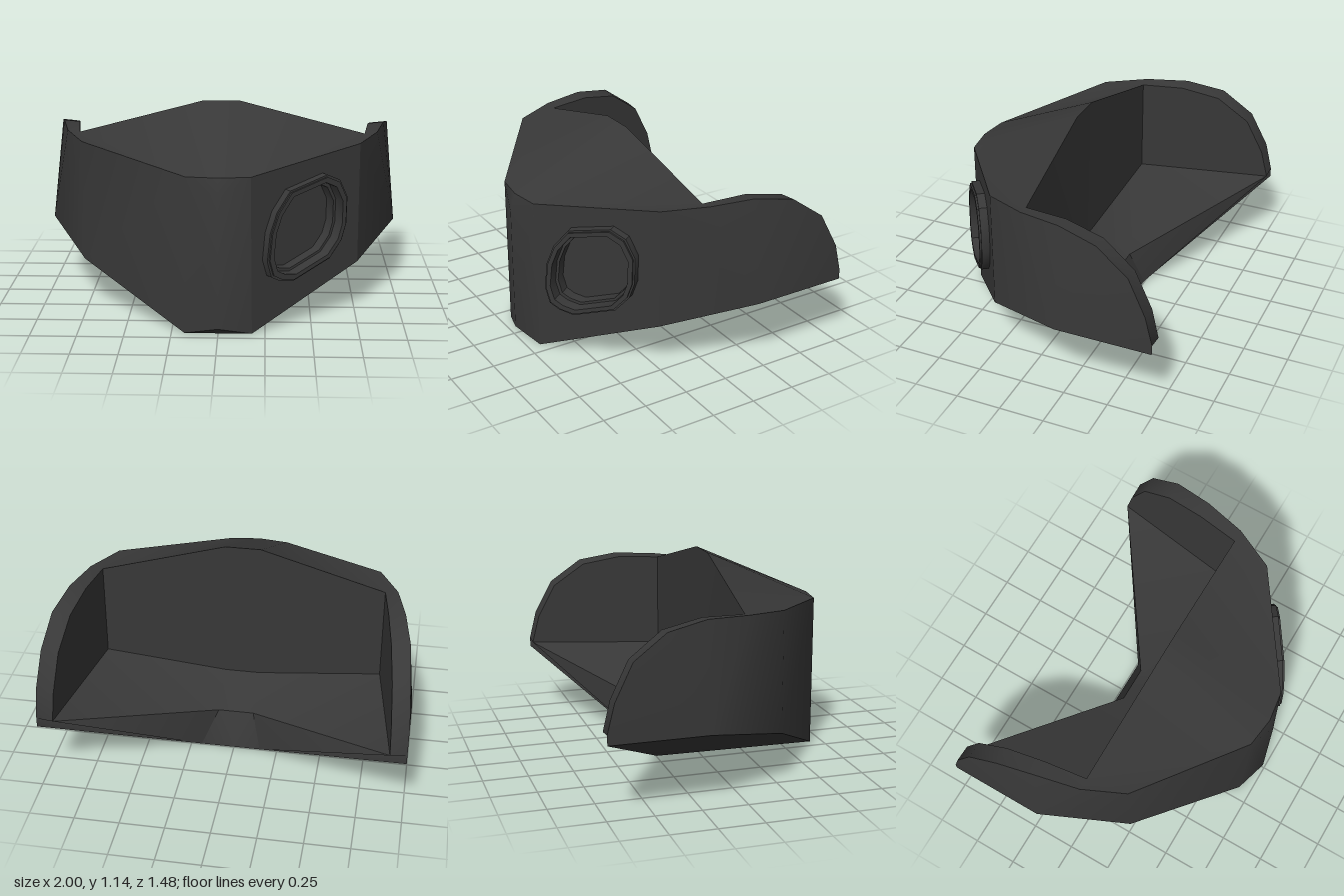
import * as THREE from 'three';
import { toCreasedNormals } from 'three/addons/utils/BufferGeometryUtils.js';

const charcoal = new THREE.MeshStandardMaterial({ color: 0x383838, side: THREE.DoubleSide });
charcoal.name = 'charcoal';

// Fan-triangulated faces, given as loops of corners
function shell(name, faces) {
  const pos = [];
  for (const f of faces)
    for (let i = 1; i < f.length - 1; i++) pos.push(...f[0], ...f[i], ...f[i + 1]);
  const g = new THREE.BufferGeometry();
  g.setAttribute('position', new THREE.Float32BufferAttribute(pos, 3));
  const mesh = new THREE.Mesh(toCreasedNormals(g, 0.65), charcoal);
  mesh.name = name;
  return mesh;
}

// Corners of one half of the body; s = 1 or -1 picks the side
function halfBody(s) {
  const mid = ([, y, z]) => [0, y, z];
  // nose
  const F0 = [0, 0.86, 0.71], F1 = [0, 0.76, 0.74], F2 = [0, 0.045, 0.74];
  const A = [0.17, 0.86, 0.68707], B = [0.18, 0, 0.68];
  // side and underside
  const C = [0.76, 0.95, 0.27], D = [0.76, 0.28, 0.27];
  const E = [1, 0.395, -0.2], G = [1, 0.395, -0.74], V = [s > 0 ? 0.19 : 0.15, 0, -0.245];
  // inner wall and floor
  const R = [0.1, 1.145, 0.07], P = [0.1, 0.32, 0.07], Q = [0.8, 0.41, 0.04], U = [0.1, 0.2, -0.17];
  // wing rim, outer and inner edge
  const outer = [[0.87, 0.966, 0.04], [0.925, 0.975, -0.2], [0.965, 0.935, -0.42],
    [0.985, 0.805, -0.6], [1, 0.61, -0.7], [1, 0.45, -0.74]];
  const inner = outer.map(([, y, z]) => [0.8 + 0.11 * (0.04 - z) / 0.78, y - 0.01, z]);
  const W = inner[0], T = inner[5];

  const faces = [
    [A, F0, F1, F2, B], [F2, mid(B), B],
    [E, G, ...[...outer].reverse(), C, D],
    [C, outer[0], W],
    [Q, ...inner],
    [V, U, T, outer[5], G], [mid(V), mid(U), U, V],
    [Q, T, U, P], [P, U, mid(U), mid(P)],
    [P, R, W, Q], [mid(P), mid(R), R, P],
    [A, C, W, R], [F0, A, R, mid(R)],
    [mid(B), mid(V), V, B], [B, V, G, E, D],
  ];
  for (let i = 0; i < 5; i++) faces.push([outer[i], outer[i + 1], inner[i + 1], inner[i]]);
  if (s < 0) faces.push([A, B, D, C]); // plain front panel
  if (s > 0) return faces;
  // mirrored loops run backwards but keep their fan corner
  return faces.map(([first, ...rest]) =>
    [first, ...rest.reverse()].map(([x, y, z]) => [-x, y, z]));
}

// Front panel with the recessed port, built flat and turned onto the slanted face
function portPanel() {
  const group = new THREE.Group();
  group.name = 'portPanel';
  const len = Math.hypot(0.58, 0.41), c = 0.58 / len;
  group.position.set(0.18, 0, 0.68);
  group.rotation.y = Math.atan2(0.41, 0.58);

  const outline = [[0.262, 0.40], [0.275, 0.55], [0.31, 0.66], [0.38, 0.765], [0.58, 0.82],
    [0.65, 0.78], [0.693, 0.68], [0.69, 0.53], [0.665, 0.44], [0.60, 0.35], [0.40, 0.265],
    [0.33, 0.28], [0.285, 0.31]];
  const cx = 0.48, cy = 0.54;
  const loop = k => outline.map(([x, y]) =>
    new THREE.Vector2((cx + (x - cx) * k - 0.209) / c, cy + (y - cy) * k));
  const add = (name, geo, z) => {
    const m = new THREE.Mesh(geo, charcoal);
    m.name = name;
    m.position.z = z;
    group.add(m);
  };
  const ring = (name, k0, k1, back, front) => {
    const s = new THREE.Shape(loop(k0));
    s.holes.push(new THREE.Path(loop(k1)));
    const g = new THREE.ExtrudeGeometry(s, { depth: front - back, bevelEnabled: false });
    add(name, toCreasedNormals(g, 0.6), back);
  };

  const panel = new THREE.Shape([[-0.01 / c, 0.86], [0, 0], [len, 0.28], [len, 0.95]]
    .map(p => new THREE.Vector2(...p)));
  panel.holes.push(new THREE.Path(loop(0.9)));
  add('frontPanel', new THREE.ShapeGeometry(panel), 0);
  ring('portBase', 1, 0.93, 0, 0.045);
  ring('portRim', 0.96, 0.86, -0.03, 0.055);
  ring('portStep', 0.88, 0.8, -0.075, -0.01);
  add('portFloor', new THREE.ShapeGeometry(new THREE.Shape(loop(0.84))), -0.07);
  return group;
}

export function createModel() {
  const model = new THREE.Group();
  model.name = 'collarShell';
  model.add(shell('body', [...halfBody(1), ...halfBody(-1)]), portPanel());
  return model;
}
